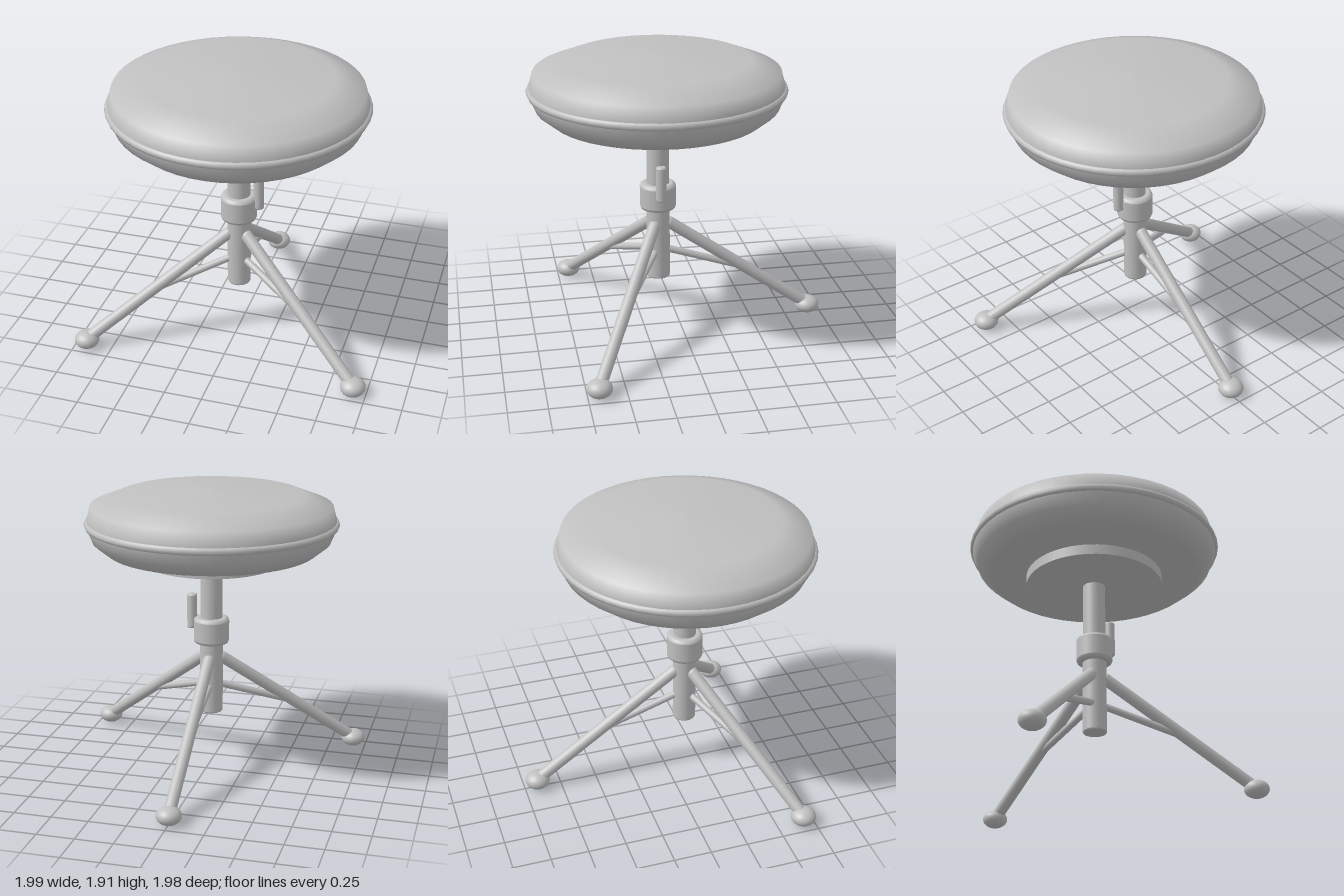
import * as THREE from 'three';

const V2 = (x, y) => new THREE.Vector2(x, y);

export function createModel() {
  const stool = new THREE.Group();
  stool.name = 'stool';
  // the post stands slightly forward so the tripod footprint is centred
  const axis = new THREE.Group();
  axis.name = 'stoolBody';
  axis.position.z = 0.147;
  stool.add(axis);

  const grey = new THREE.MeshStandardMaterial({ color: 0xc0c0c0 });
  grey.name = 'plainGrey';

  function add(parent, name, geometry, x = 0, y = 0, z = 0) {
    const mesh = new THREE.Mesh(geometry, grey);
    mesh.name = name;
    mesh.position.set(x, y, z);
    parent.add(mesh);
    return mesh;
  }

  // upright solid of revolution with small bevelled rims
  function bevelled(radius, bottom, top, bevel, segments = 32) {
    const b = bevel * 0.3;
    return new THREE.LatheGeometry([
      V2(0, bottom), V2(radius - bevel, bottom), V2(radius - bevel, bottom),
      V2(radius - b, bottom + b), V2(radius, bottom + bevel), V2(radius, bottom + bevel),
      V2(radius, top - bevel), V2(radius, top - bevel), V2(radius - b, top - b),
      V2(radius - bevel, top), V2(radius - bevel, top), V2(0, top),
    ], segments);
  }

  // round bar between two points
  function bar(parent, name, from, to, radius) {
    const dir = to.clone().sub(from);
    const mesh = add(parent, name, new THREE.CylinderGeometry(radius, radius, dir.length(), 20));
    mesh.position.copy(from).addScaledVector(dir, 0.5);
    mesh.quaternion.setFromUnitVectors(new THREE.Vector3(0, 1, 0), dir.normalize());
    return mesh;
  }

  // padded seat with piping around its widest line
  add(axis, 'seatCushion', new THREE.LatheGeometry([
    V2(0, 1.515), V2(0.7, 1.515), V2(0.79, 1.588), V2(0.824, 1.67), V2(0.824, 1.725),
    V2(0.8, 1.815), V2(0.61, 1.89), V2(0, 1.915),
  ], 48));
  add(axis, 'seatPiping', new THREE.TorusGeometry(0.816, 0.027, 8, 48), 0, 1.697).rotation.x = Math.PI / 2;
  add(axis, 'seatPlate', new THREE.CylinderGeometry(0.457, 0.457, 0.07, 48), 0, 1.465);

  // telescoping post, clamp collar and height lever
  add(axis, 'upperPost', new THREE.CylinderGeometry(0.074, 0.074, 0.6, 32), 0, 1.22);
  add(axis, 'lowerPost', bevelled(0.078, 0.373, 0.95, 0.01));
  add(axis, 'clampCollar', bevelled(0.12, 0.865, 1.045, 0.022));
  add(axis, 'heightLever', bevelled(0.034, 0.96, 1.2, 0.01, 20), 0.135);

  // three splayed legs, each with a brace and a rubber foot
  for (let i = 0; i < 3; i++) {
    const leg = new THREE.Group();
    leg.name = ['backLeg', 'frontRightLeg', 'frontLeftLeg'][i];
    leg.rotation.y = i * Math.PI * 2 / 3;
    axis.add(leg);
    const top = new THREE.Vector3(0, 0.755, -0.075);
    bar(leg, 'legTube', top, new THREE.Vector3(0, 0.075, -1.04), 0.04);
    add(leg, 'legTopCap', new THREE.SphereGeometry(0.04, 20, 12), top.x, top.y, top.z);
    bar(leg, 'brace', new THREE.Vector3(0, 0.565, -0.06), new THREE.Vector3(0, 0.4, -0.56), 0.024);
    const foot = add(leg, 'foot', new THREE.SphereGeometry(0.083, 28, 18), 0, 0.06, -1.056);
    foot.scale.y = 0.72;
  }
  return stool;
}
